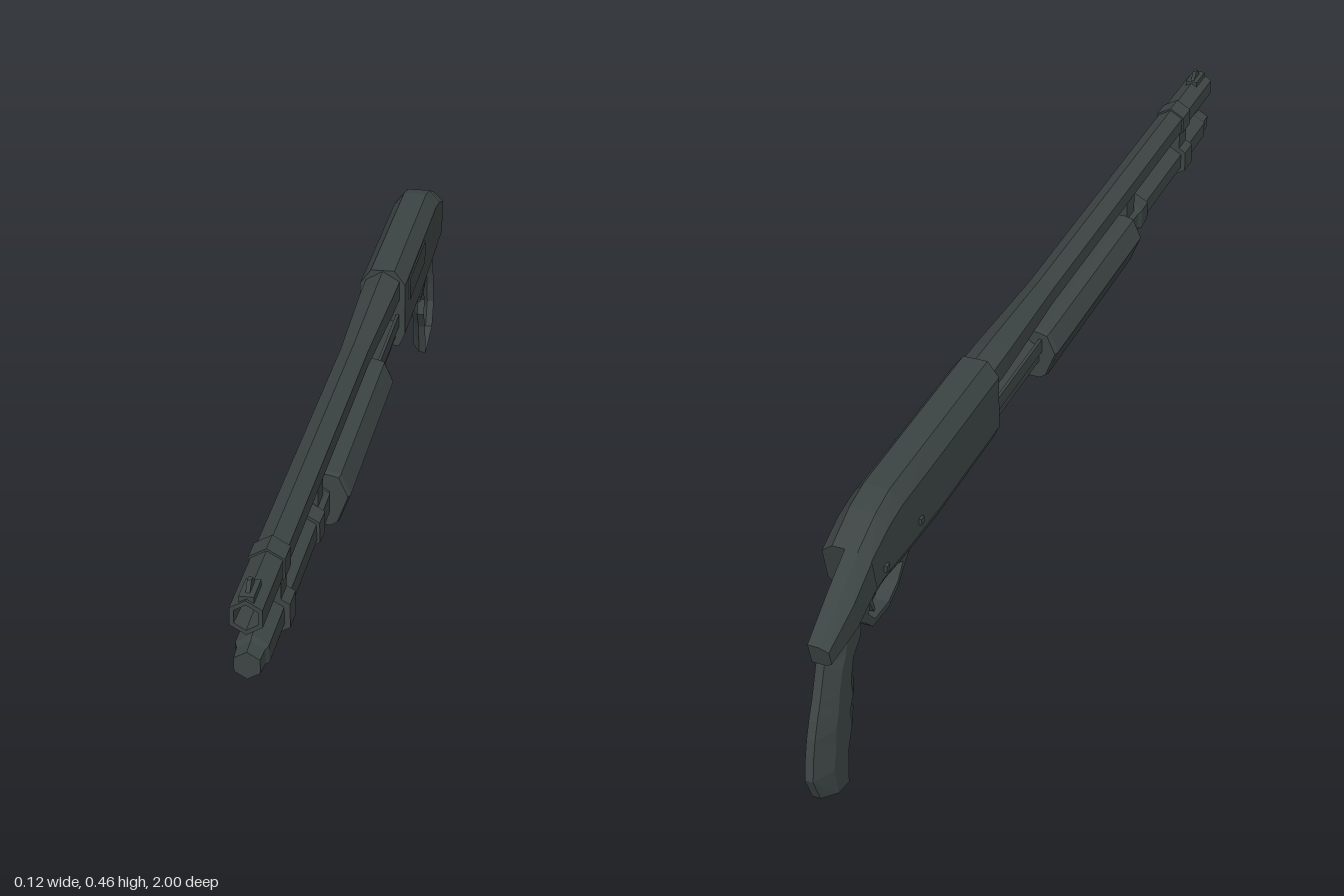
import * as THREE from 'three';

const steel = new THREE.MeshStandardMaterial({ color: 0x3c4443, side: THREE.DoubleSide });
steel.name = 'gunmetal';

export function createModel() {
  const model = new THREE.Group();

  const add = (name, geometry) => {
    const flat = geometry.index ? geometry.toNonIndexed() : geometry;
    flat.computeVertexNormals();
    const mesh = new THREE.Mesh(flat, steel);
    mesh.name = name;
    model.add(mesh);
    return mesh;
  };

  // Skin a list of rings; rings may be open strips
  const loft = (name, rings, closed = true, capStart = true, capEnd = true) => {
    const n = rings[0].length;
    const pos = rings.flat(2);
    const index = [];
    for (let i = 0; i < rings.length - 1; i++) {
      for (let j = 0; j < (closed ? n : n - 1); j++) {
        const k = (j + 1) % n;
        const a = i * n + j, b = i * n + k, c = b + n, d = a + n;
        index.push(a, d, c, a, c, b);
      }
    }
    const last = (rings.length - 1) * n;
    for (let j = 1; j < n - 1; j++) {
      if (capStart) index.push(0, j, j + 1);
      if (capEnd) index.push(last, last + j + 1, last + j);
    }
    const g = new THREE.BufferGeometry();
    g.setAttribute('position', new THREE.Float32BufferAttribute(pos, 3));
    g.setIndex(index);
    return add(name, g);
  };

  // Six-sided rod along z from [z, radius] stations
  const rod = (name, y, stations) => loft(name, stations.map(([z, r]) =>
    Array.from({ length: 6 }, (_, i) => {
      const a = Math.PI / 2 + i * Math.PI / 3;
      return [Math.cos(a) * r, y + Math.sin(a) * r, z];
    })));

  const box = (name, x, y0, y1, z0, z1, cx = 0) => {
    const g = new THREE.BoxGeometry(x * 2, y1 - y0, z1 - z0);
    g.translate(cx, (y0 + y1) / 2, (z0 + z1) / 2);
    return add(name, g);
  };

  // Side outline [z, y] extruded across x
  const plate = (name, outline, width, hole) => {
    const toPoints = (list) => list.map(([z, y]) => new THREE.Vector2(z, y));
    const shape = new THREE.Shape(toPoints(outline));
    if (hole) shape.holes.push(new THREE.Path(toPoints(hole)));
    const g = new THREE.ExtrudeGeometry(shape, { depth: width, bevelEnabled: false });
    g.rotateY(-Math.PI / 2).translate(width / 2, 0, 0);
    return add(name, g);
  };

  const BARREL_Y = 0.413, TUBE_Y = 0.328;

  // Barrel with recessed bore, swelling towards the receiver
  rod('barrel', BARREL_Y, [[0.94, 0.02], [1, 0.022], [1, 0.03], [0.05, 0.03], [-0.2, 0.038], [-0.28, 0.039]]);

  // Magazine tube, cap and collars
  rod('magazineTube', TUBE_Y, [[1, 0.024], [0.97, 0.026], [0.96, 0.031], [-0.28, 0.031]]);
  rod('tubeCollar', TUBE_Y, [[0.57, 0.037], [0.53, 0.039], [0.52, 0.034], [0.46, 0.034]]);
  box('tubeBracket', 0.02, 0.345, 0.397, 0.475, 0.52);

  // Clamp joining barrel and tube
  rod('clampUpper', BARREL_Y, [[0.845, 0.034], [0.8, 0.034]]);
  rod('clampLower', TUBE_Y, [[0.845, 0.042], [0.8, 0.042]]);
  box('clampWeb', 0.022, 0.34, 0.4, 0.8, 0.845);

  // Front sight
  box('sightBase', 0.012, 0.436, 0.447, 0.94, 0.995);
  plate('sightBlade', [[0.985, 0.445], [0.945, 0.445], [0.96, 0.462], [0.97, 0.462]], 0.007);

  // Pump: wide at its waist, with chamfered ends
  const pumpHalf = [[0.026, 0.378], [0.045, 0.373], [0.062, 0.335], [0.042, 0.283], [0.03, 0.275]];
  const pumpOutline = [
    ...pumpHalf.map(([x, y]) => [-x, y]),
    ...pumpHalf.slice().reverse(),
  ];
  const pumpRing = (z, s) => pumpOutline.map(([x, y]) => [x * s, 0.328 + (y - 0.328) * s, z]);
  loft('pump', [pumpRing(0.45, 0.95), pumpRing(0.44, 1), pumpRing(-0.02, 1), pumpRing(-0.03, 0.95)]);
  for (const side of [-1, 1]) {
    box('actionBar', 0.003, 0.335, 0.362, -0.29, 0, side * 0.03);
  }

  // Receiver stations: top z, top y, bottom z, bottom y, half width
  const halfRing = ([zt, yt, zb, yb, w]) => {
    const k = (yt - yb) / 0.157;
    const at = (x, y) => [x, y, zb + (zt - zb) * (y - yb) / (yt - yb)];
    return [
      at(-w * 0.52, yt), at(-w, yt - 0.029 * k),
      at(-w, yb + 0.025 * k), at(-w * 0.75, yb),
    ];
  };
  const fullRing = (s) => {
    const half = halfRing(s);
    return [...half, ...half.slice().reverse().map(([x, y, z]) => [-x, y, z])];
  };
  loft('receiver', [
    [-0.27, 0.454, -0.27, 0.295, 0.045],
    [-0.53, 0.455, -0.53, 0.295, 0.045],
    [-0.69, 0.455, -0.68, 0.304, 0.045],
    [-0.745, 0.444, -0.735, 0.311, 0.045],
    [-0.815, 0.414, -0.79, 0.316, 0.044],
  ].map(fullRing));
  box('ejectionPort', 0.002, 0.374, 0.42, -0.52, -0.32, 0.046);
  box('loadingPlate', 0.026, 0.29, 0.3, -0.55, -0.29);
  for (const z of [-0.62, -0.76]) box('receiverPin', 0.003, 0.345, 0.357, z - 0.006, z + 0.006, -0.047);

  // Trigger guard and trigger
  plate('triggerGuard',
    [[-0.51, 0.3], [-0.6, 0.268], [-0.625, 0.248], [-0.65, 0.225], [-0.69, 0.209],
      [-0.755, 0.215], [-0.785, 0.245], [-0.81, 0.262], [-0.8, 0.32], [-0.6, 0.32]],
    0.028,
    [[-0.628, 0.262], [-0.65, 0.236], [-0.69, 0.22], [-0.745, 0.224], [-0.767, 0.25],
      [-0.76, 0.272], [-0.7, 0.277], [-0.65, 0.272]]);
  plate('trigger', [[-0.725, 0.28], [-0.732, 0.25], [-0.724, 0.228], [-0.73, 0.226],
    [-0.743, 0.25], [-0.747, 0.28]], 0.01);

  // Rear tang, right half only
  loft('tang', [
    [-0.815, 0.414, -0.79, 0.318, 0.045],
    [-0.885, 0.376, -0.87, 0.295, 0.045],
    [-0.962, 0.328, -0.95, 0.284, 0.036],
  ].map((s) => {
    const ring = halfRing(s);
    return [[0, ring[0][1], ring[0][2]], ...ring, [0, ring[3][1], ring[3][2]]];
  }), false);

  // Pistol grip, right half only: front z, front y, back z, back y
  loft('grip', [
    [-0.795, 0.315, -0.925, 0.3],
    [-0.8, 0.264, -0.938, 0.27],
    [-0.838, 0.242, -0.945, 0.25],
    [-0.85, 0.2, -0.96, 0.21],
    [-0.837, 0.168, -0.974, 0.18],
    [-0.854, 0.142, -0.985, 0.15],
    [-0.843, 0.11, -0.993, 0.12],
    [-0.865, 0.07, -1, 0.075],
    [-0.88, 0, -0.978, 0.022],
  ].map(([zf, yf, zb, yb]) => [[0, 0], [-0.015, 0], [-0.034, 0.3], [-0.034, 0.7], [-0.015, 1], [0, 1]]
    .map(([x, t]) => [x, yb + (yf - yb) * t, zb + (zf - zb) * t])), false);

  return model;
}
